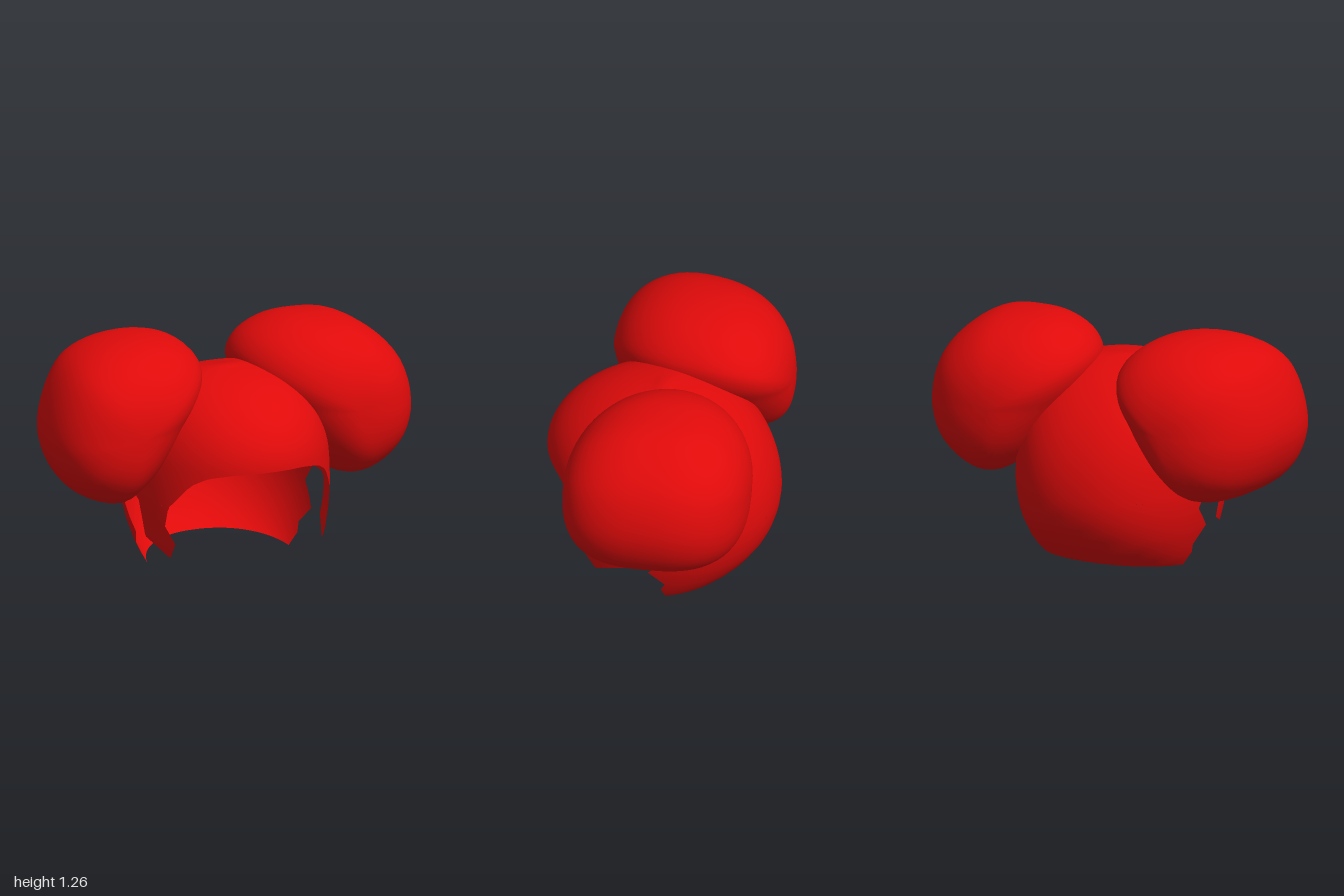
import * as THREE from 'three';
import { mergeVertices } from 'three/addons/utils/BufferGeometryUtils.js';

const TOP = 1.065;
const RIM = 0.43;

// Grid surface from fn(u, v) -> [x, y, z], welded for smooth normals
function surface(fn, nu, nv) {
  const pos = [], idx = [];
  for (let j = 0; j <= nv; j++)
    for (let i = 0; i <= nu; i++) pos.push(...fn(i / nu, j / nv));
  for (let j = 0; j < nv; j++)
    for (let i = 0; i < nu; i++) {
      const a = j * (nu + 1) + i, b = a + nu + 1;
      idx.push(a, b, a + 1, a + 1, b, b + 1);
    }
  let g = new THREE.BufferGeometry();
  g.setAttribute('position', new THREE.Float32BufferAttribute(pos, 3));
  g.setIndex(idx);
  g = mergeVertices(g, 1e-4);
  g.computeVertexNormals();
  return g;
}

const signedPow = (a, p) => Math.sign(a) * Math.pow(Math.abs(a), p);

// Half-sizes of the head-shaped shell at a given height
const bulge = (size, d, h, p = 2) =>
  size * Math.pow(Math.max(0, 1 - Math.pow(Math.abs(d) / h, p)), 1 / p);
const halfWidth = y => y > 0.45 ? bulge(0.525, y - 0.45, TOP - 0.45, 2.65) : bulge(0.525, 0.45 - y, 0.72);
const frontDepth = y => y > 0.65 ? bulge(0.61, y - 0.65, TOP - 0.65) : 0.61;
const backDepth = y => y > 0.43 ? bulge(0.61, y - 0.43, TOP - 0.43) : bulge(0.61, 0.43 - y, 0.52);
const depth = (y, z) => z > 0 ? frontDepth(y) : backDepth(y);
// The back half is a little squarer than the front in plan
const squareness = z => z > 0 ? 2 : 2.2;

function shellPoint(angle, y) {
  const s = Math.sin(angle), c = Math.cos(angle), e = 2 / squareness(c);
  return [signedPow(s, e) * halfWidth(y), y, signedPow(c, e) * depth(y, c)];
}
const shellAngle = (y, z) => Math.acos(signedPow(z / depth(y, z), squareness(z) / 2));

// Shell surface with normals from the shell's shape, so its parts join smoothly
function shellSurface(fn, nu, nv) {
  const g = surface(fn, nu, nv);
  const p = g.attributes.position, n = new THREE.Vector3(), step = 0.004;
  const level = (x, y, z) => Math.pow(Math.abs(x) / halfWidth(y), squareness(z)) +
    Math.pow(Math.abs(z) / depth(y, z), squareness(z));
  for (let i = 0; i < p.count; i++) {
    const x = p.getX(i), y = p.getY(i), z = p.getZ(i);
    const q = squareness(z), w = halfWidth(y), d = depth(y, z);
    if (y > TOP - 1e-4) n.set(0, 1, 0);
    else n.set(
      q * signedPow(x / w, q - 1) / w,
      (level(x, y, z) - level(x, y - step, z)) / step,
      q * signedPow(z / d, q - 1) / d).normalize();
    g.attributes.normal.setXYZ(i, n.x, n.y, n.z);
  }
  return g;
}

// Hairline height as a function of depth: [z, y]
const hairline = [[0.31, RIM], [0.36, 0.49], [0.42, 0.57], [0.49, 0.62], [0.57, 0.648], [0.62, 0.655]];
function rimHeight(z) {
  if (z <= hairline[0][0]) return RIM;
  const i = hairline.findIndex(h => z <= h[0]);
  const [z0, y0] = hairline[i - 1], [z1, y1] = hairline[i];
  return y0 + (y1 - y0) * (z - z0) / (z1 - z0);
}

// Rounded bun: a front outline scaled along z, leaning sideways by shear;
// it is fuller underneath, and fuller towards +x by the amount of flare
function bunGeometry(outline, cx, shear, flare, zMid, zHalf) {
  const curve = new THREE.CatmullRomCurve3(
    outline.map(([x, y]) => new THREE.Vector3(x, y, 0)), true, 'centripetal');
  const cy = 0.84;
  return surface((u, v) => {
    const p = curve.getPoint(u % 1), t = v * Math.PI;
    const e = 2 / (2.25 + flare * (p.x - cx) + Math.max(0, cy - p.y));
    const f = v === 0 || v === 1 ? 0 : Math.pow(Math.sin(t), e);
    const dz = signedPow(Math.cos(t), e) * zHalf;
    return [
      cx + (p.x - cx) * f * 0.99 + shear * dz,
      cy + (p.y - cy) * f,
      zMid + dz,
    ];
  }, 56, 32);
}

export function createModel() {
  const model = new THREE.Group();
  const red = new THREE.MeshStandardMaterial({ color: 0xe00a0a, side: THREE.DoubleSide });
  red.name = 'hair red';
  const add = (name, geometry) => {
    const mesh = new THREE.Mesh(geometry, red);
    mesh.name = name;
    model.add(mesh);
  };

  // Crown with an arched front hairline
  add('crown', shellSurface((u, v) => {
    const angle = u * Math.PI * 2;
    const rim = rimHeight(0.61 * Math.cos(angle));
    return shellPoint(angle, rim + (TOP - rim) * Math.cos(v * Math.PI / 2));
  }, 96, 24));

  // Jagged lock in front of each ear: rows of [y, back z, front z]
  const lockRows = [[RIM, 0.04, 0.31], [0.41, 0.07, 0.3], [0.32, 0.09, 0.275],
    [0.23, 0.09, 0.325], [0.215, 0.095, 0.315], [0.145, 0.255, 0.27]];
  for (const side of [1, -1]) {
    add(side > 0 ? 'leftSideLock' : 'rightSideLock', shellSurface((u, v) => {
      const [y, z0, z1] = lockRows[Math.round(v * (lockRows.length - 1))];
      const z = z0 + (z1 - z0) * (side > 0 ? 1 - u : u);
      return shellPoint(side * shellAngle(y, z), y);
    }, 6, lockRows.length - 1));
  }

  // Nape wrapping round the back, with zigzag front edges: rows of [y, edge z]
  const napeRows = [[RIM, -0.06], [0.41, -0.09], [0.33, -0.14], [0.27, -0.085],
    [0.21, -0.03], [0.12, -0.11], [0.07, -0.085], [0, -0.1]];
  add('nape', shellSurface((u, v) => {
    const row = Math.round(v * (napeRows.length - 1));
    const [edgeY, z] = napeRows[row];
    const start = shellAngle(edgeY, z);
    const lift = row === napeRows.length - 1 ? 0.045 * Math.sin(u * Math.PI) : 0;
    return shellPoint(start + (2 * Math.PI - 2 * start) * u, edgeY + lift);
  }, 48, napeRows.length - 1));

  // Two large buns, slightly different in outline
  add('leftBun', bunGeometry([
    [0.11, 0.98], [0.18, 0.85], [0.3, 0.68], [0.43, 0.53], [0.58, 0.425], [0.7, 0.42],
    [0.85, 0.5], [0.95, 0.62], [0.995, 0.8], [0.95, 1.0], [0.85, 1.13], [0.68, 1.235],
    [0.5, 1.26], [0.33, 1.25], [0.17, 1.18], [0.1, 1.08],
  ], 0.55, 0.09, 0.6, -0.1, 0.48));
  add('rightBun', bunGeometry([
    [-0.13, 1.1], [-0.25, 1.21], [-0.45, 1.26], [-0.7, 1.235], [-0.86, 1.15],
    [-0.96, 0.98], [-1.0, 0.77], [-0.94, 0.58], [-0.84, 0.475], [-0.63, 0.41],
    [-0.48, 0.5], [-0.33, 0.67], [-0.2, 0.86], [-0.13, 0.99],
  ], -0.55, -0.14, 0, -0.09, 0.485));

  return model;
}
